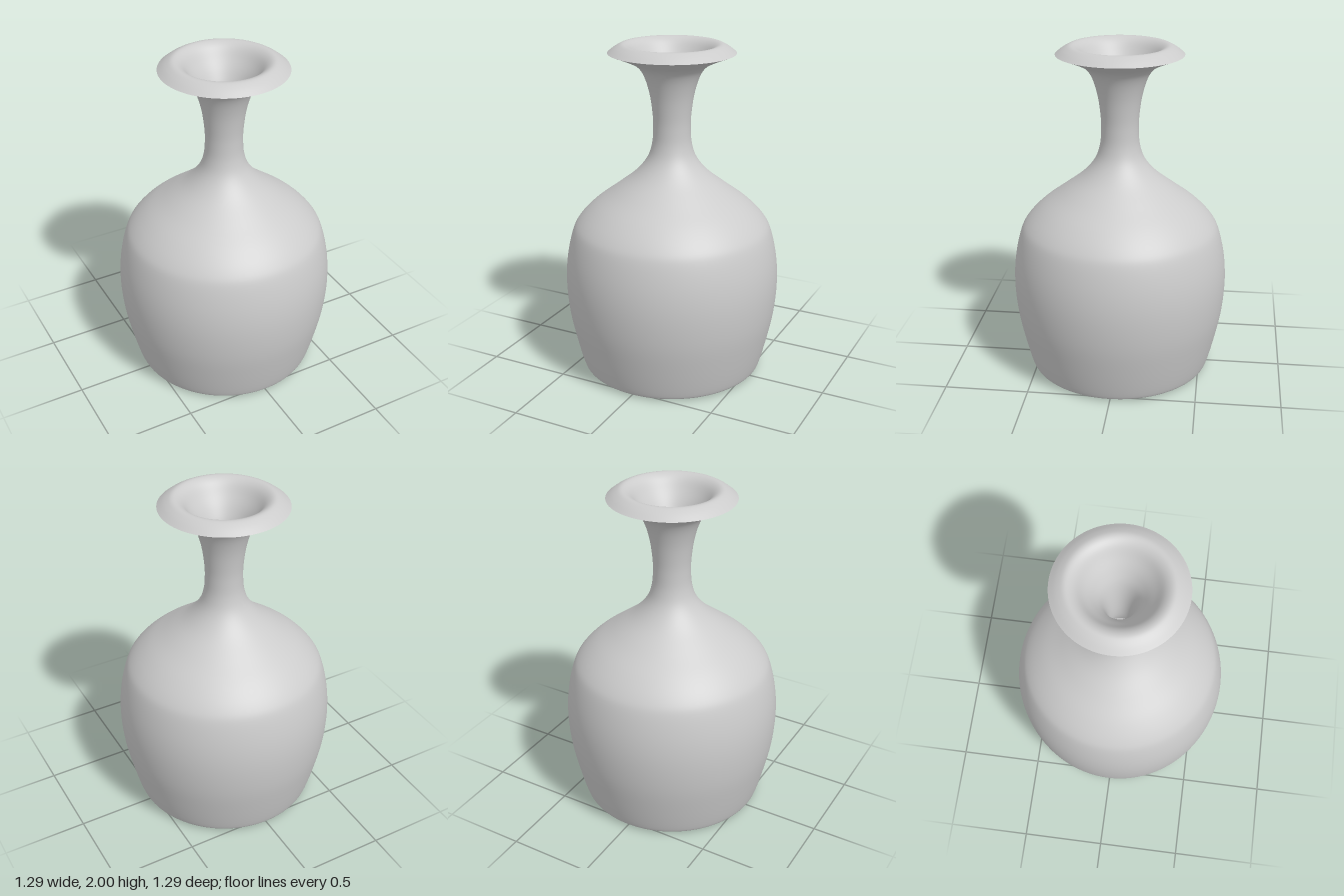
import * as THREE from 'three';

const material = new THREE.MeshStandardMaterial({ color: 0xcccccc });

// Smooth curve through [radius, height] pairs
function smooth(pairs, divisions) {
  const curve = new THREE.SplineCurve(pairs.map(([r, y]) => new THREE.Vector2(r, y)));
  return curve.getPoints(divisions).map((p) => new THREE.Vector2(Math.max(p.x, 0), p.y));
}

// Surface of revolution with smooth normals
function turned(name, points) {
  const mesh = new THREE.Mesh(new THREE.LatheGeometry(points, 96), material);
  mesh.name = name;
  return mesh;
}

export function createModel() {
  const vase = new THREE.Group();
  vase.name = 'vase';

  // Flat foot with a small rounded edge, then belly, shoulder, neck and flared lip
  const foot = [[0, 0], [0.25, 0], [0.48, 0]].map(([r, y]) => new THREE.Vector2(r, y));
  const outer = smooth([
    [0.5, 0.001], [0.535, 0.01], [0.556, 0.04], [0.597, 0.2], [0.632, 0.38], [0.645, 0.56],
    [0.634, 0.72], [0.6, 0.87], [0.558, 0.95], [0.47, 1.04], [0.345, 1.135], [0.225, 1.23],
    [0.15, 1.32], [0.118, 1.41], [0.11, 1.51], [0.114, 1.6], [0.13, 1.71],
    [0.16, 1.81], [0.2, 1.87], [0.27, 1.91], [0.37, 1.95],
  ], 100);
  vase.add(turned('outerWall', [...foot, ...outer]));

  // Rolled top of the lip, funnel and hollow interior, meeting the outside at a sharp rim
  const inner = smooth([
    [0.37, 1.95], [0.325, 1.983], [0.28, 2], [0.235, 1.978], [0.19, 1.92], [0.14, 1.85],
    [0.1, 1.77], [0.072, 1.65], [0.058, 1.51], [0.066, 1.4], [0.105, 1.29], [0.18, 1.195],
    [0.3, 1.1], [0.43, 1], [0.515, 0.91], [0.557, 0.82], [0.582, 0.7], [0.59, 0.56],
    [0.578, 0.38], [0.545, 0.2], [0.51, 0.085], [0.47, 0.058], [0.25, 0.055], [0, 0.055],
  ], 110);
  vase.add(turned('innerWall', inner));

  return vase;
}
